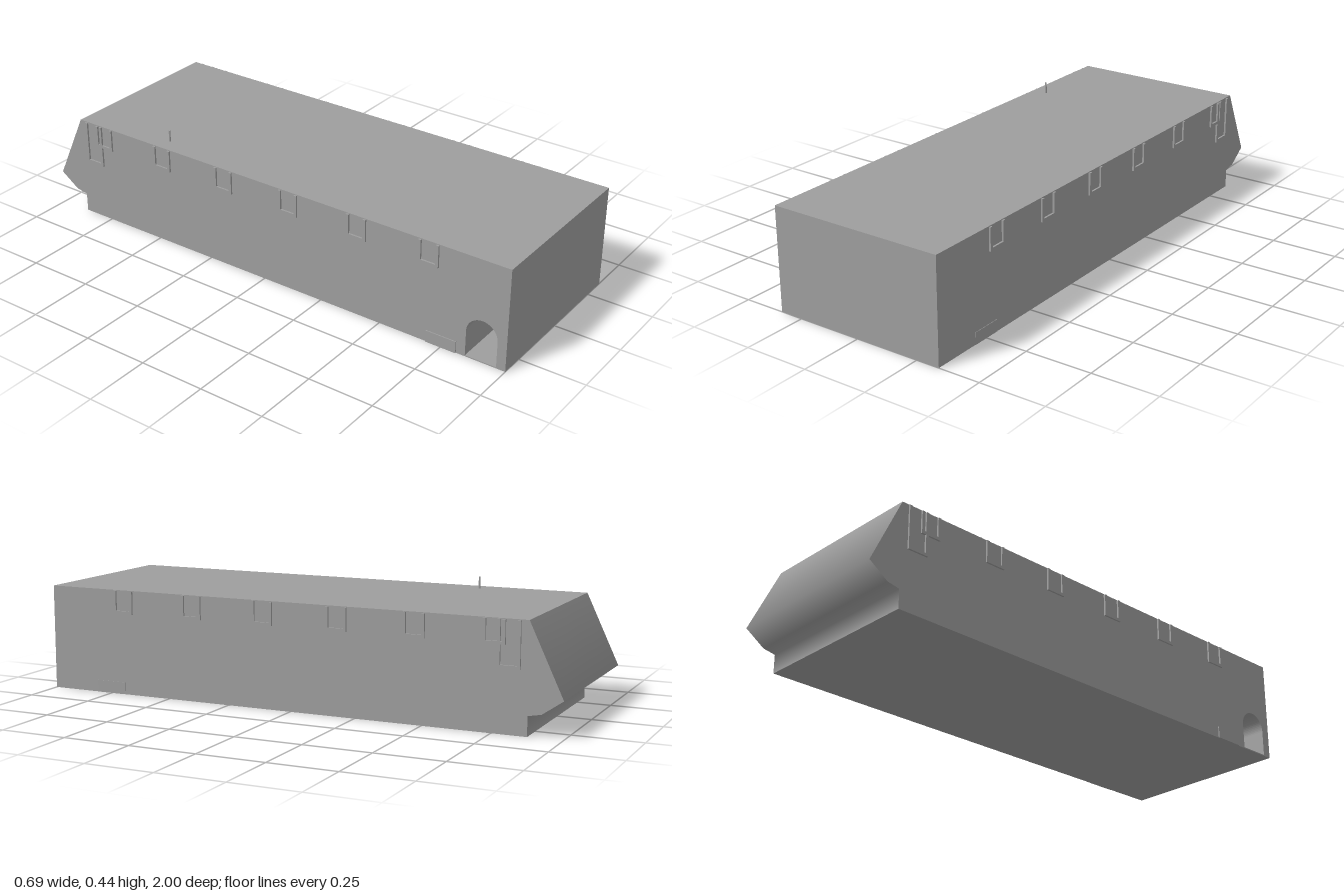
import * as THREE from 'three';

const material = new THREE.MeshStandardMaterial({ color: 0x9d9d9d });
const HALF = 0.34, TOP = 0.392, TUNNEL = 0.25;

// Side outline as [z, y], drawn in the (-z, y) plane.
const OUTLINE = [[1, 0], [-0.877, 0], [-0.877, 0.071], [-0.925, 0.08], [-1, 0.132], [-0.877, TOP], [1, TOP]];

// Extrudes a side-view shape across the width, from x0 to x1.
function across(shape, x0, x1) {
  const g = new THREE.ExtrudeGeometry(shape, { depth: x1 - x0, bevelEnabled: false, curveSegments: 16 });
  g.rotateY(Math.PI / 2);
  g.translate(x0, 0, 0);
  return g;
}

const polygon = (PathType, points) => new PathType(points.map(([z, y]) => new THREE.Vector2(-z, y)));

// Blends the normals of the overhanging rear end so it shades smoothly.
function smoothRear(g) {
  const p = g.attributes.position, n = g.attributes.normal, sums = new Map();
  const rear = i => p.getZ(i) < -0.86 && n.getZ(i) < -0.1 && Math.abs(n.getX(i)) < 0.1;
  const key = i => p.getY(i).toFixed(3);
  const indices = Array.from({ length: p.count }, (_, i) => i).filter(rear);
  for (const i of indices) {
    const v = new THREE.Vector3().fromBufferAttribute(n, i);
    sums.set(key(i), (sums.get(key(i)) || new THREE.Vector3()).add(v));
  }
  for (const i of indices) {
    const v = sums.get(key(i)).clone().normalize();
    n.setXYZ(i, v.x, v.y, v.z);
  }
  return g;
}

export function createModel() {
  const model = new THREE.Group();
  const add = (name, geometry) => {
    const mesh = new THREE.Mesh(geometry, material);
    mesh.name = name;
    model.add(mesh);
    return mesh;
  };

  // Main hull, plus a right-hand slab pierced by an arched doorway
  add('hull', smoothRear(across(polygon(THREE.Shape, OUTLINE), -HALF + TUNNEL, HALF)));
  const slab = polygon(THREE.Shape, OUTLINE);
  const arch = new THREE.Path();
  arch.moveTo(-0.965, 0.004);
  arch.lineTo(-0.845, 0.004);
  arch.lineTo(-0.845, 0.102);
  arch.absarc(-0.905, 0.102, 0.06, 0, Math.PI, false);
  arch.lineTo(-0.965, 0.004);
  slab.holes.push(arch);
  add('archedSide', smoothRear(across(slab, -HALF, -HALF + TUNNEL)));

  // Thin window surrounds, open at the top, with one tall one near the rear
  const windows = [0.69, 0.4, 0.11, -0.18, -0.47, -0.757].map(z => [z - 0.04, z + 0.04, 0.304]);
  windows.push([-0.85, -0.768, 0.225]);
  const border = 0.011, top = TOP - 0.003;
  for (const side of [-1, 1]) {
    const x0 = side > 0 ? HALF : -0.347, x1 = side > 0 ? 0.347 : -HALF;
    for (const [z0, z1, y0] of windows) {
      const frame = polygon(THREE.Shape, [
        [z1, top], [z1, y0], [z0, y0], [z0, top],
        [z0 + border, top], [z0 + border, y0 + border], [z1 - border, y0 + border], [z1 - border, top]]);
      add('windowFrame', across(frame, x0, x1));
    }
    // Low step beside the doorway end
    const reach = side > 0 ? 0.0415 : 0.044;
    const step = add('lowStep', new THREE.BoxGeometry(reach, 0.045, 0.12));
    step.position.set(side * (0.3 + reach / 2), 0.0225, 0.75);
  }

  // Roof mast, a slim open tube
  const mast = add('mast', new THREE.CylinderGeometry(0.003, 0.004, 0.05, 10, 1, true));
  mast.position.set(-0.281, TOP + 0.019, -0.48);

  return model;
}
